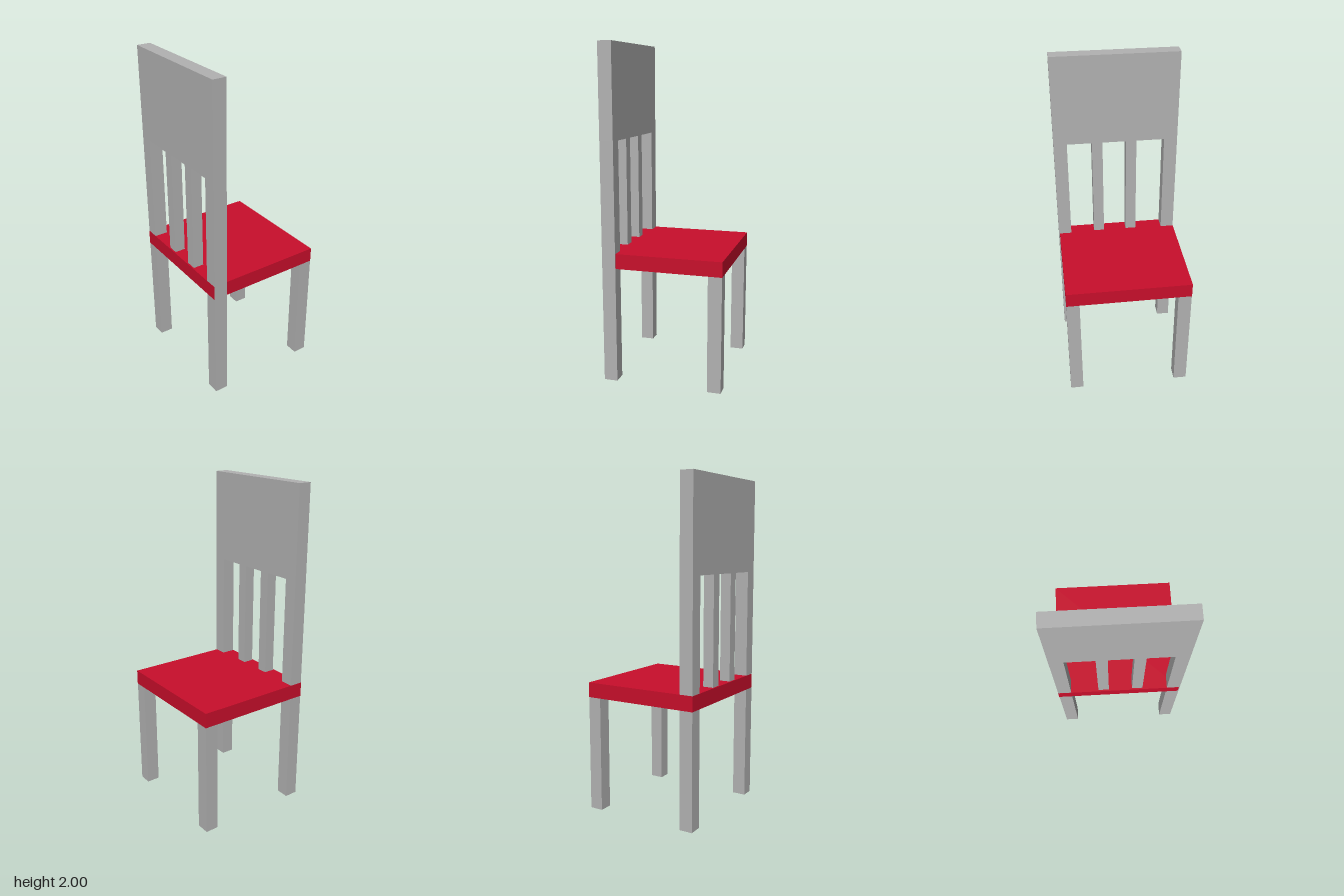
import * as THREE from 'three';

export function createModel() {
  const model = new THREE.Group();
  model.name = 'chair';

  const grey = new THREE.MeshStandardMaterial({ color: 0xb2b2b2 });
  grey.name = 'grey frame';
  const red = new THREE.MeshStandardMaterial({ color: 0xc80e2b });
  red.name = 'red seat';

  // Box given by its lower and upper limit on each axis
  function addBox(name, material, [x0, x1], [y0, y1], [z0, z1]) {
    const geometry = new THREE.BoxGeometry(x1 - x0, y1 - y0, z1 - z0);
    const mesh = new THREE.Mesh(geometry, material);
    mesh.position.set((x0 + x1) / 2, (y0 + y1) / 2, (z0 + z1) / 2);
    mesh.name = name;
    model.add(mesh);
  }

  const seatBottom = 0.7, seatTop = 0.79, panelBottom = 1.445, top = 2;
  const backX = [-0.36, -0.278];
  const sides = [['Left', [0.302, 0.384]], ['Right', [-0.384, -0.302]]];

  // Seat, a hair proud of the posts at the back and one side
  addBox('seat', red, [-0.361, 0.36], [seatBottom, seatTop], [-0.385, 0.378]);

  // Tall back posts and short front legs
  for (const [side, z] of sides) {
    addBox('backPost' + side, grey, backX, [0, panelBottom], z);
    const legZ = side === 'Left' ? [0.298, 0.378] : z;
    addBox('frontLeg' + side, grey, [0.277, 0.359], [0, seatBottom], legZ);
  }

  // Backrest panel
  addBox('backPanel', grey, backX, [panelBottom, top], [-0.384, 0.384]);

  // Slats between seat and panel
  [0.115, -0.097].forEach((z, i) => {
    addBox('slat' + (i + 1), grey, [-0.352, -0.287], [seatTop, panelBottom], [z - 0.033, z + 0.033]);
  });

  return model;
}
